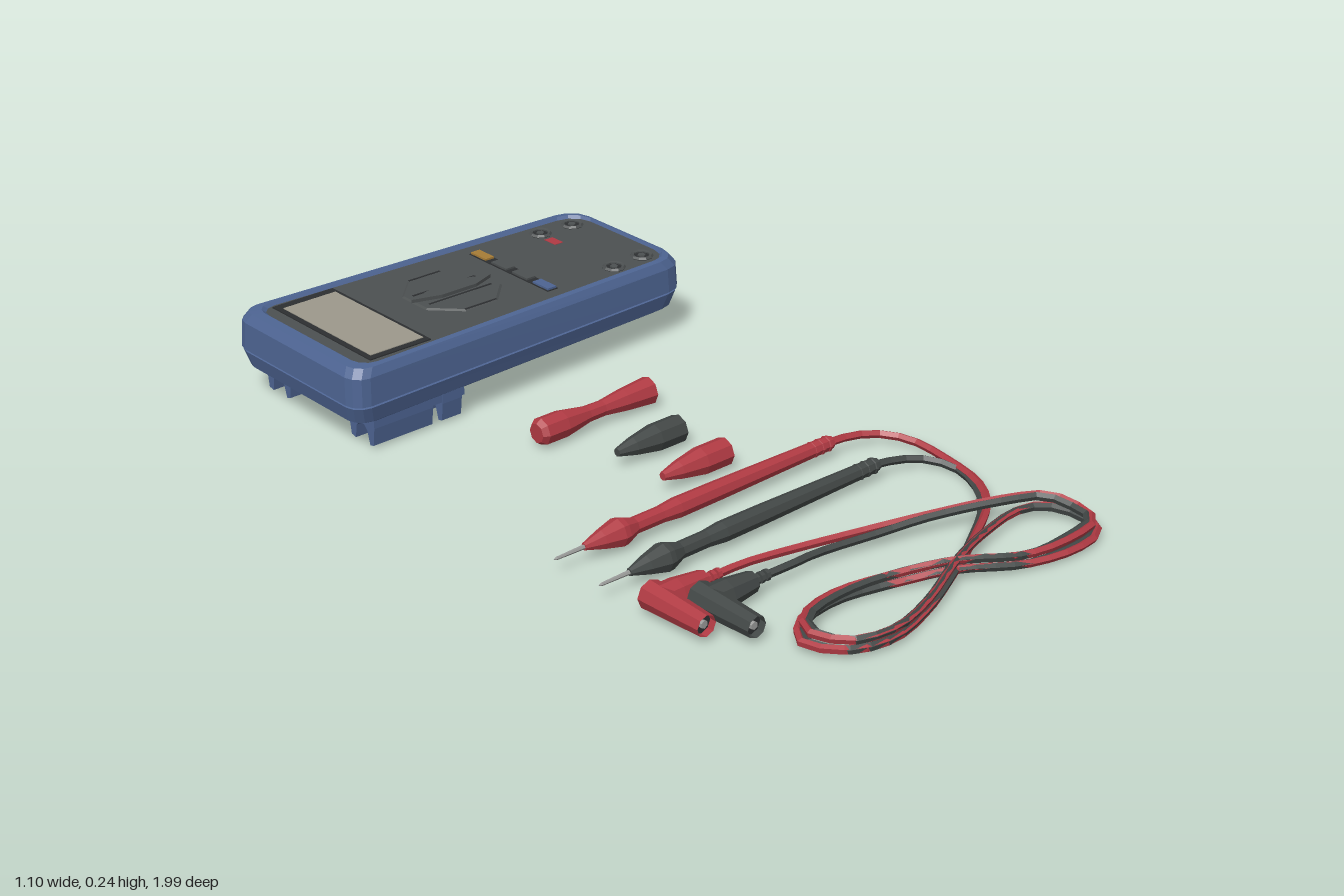
import * as THREE from 'three';

const mat = (name, color, extra = {}) => {
  const m = new THREE.MeshStandardMaterial({ color, flatShading: true, ...extra });
  m.name = name;
  return m;
};

export function createModel() {
  const root = new THREE.Group();
  const blue = mat('blue shell', 0x4d6492);
  const red = mat('red plastic', 0xb03a43, { side: THREE.DoubleSide });
  const black = mat('black plastic', 0x424746, { side: THREE.DoubleSide });
  const face = mat('charcoal face', 0x4c5051);
  const dark = mat('dark recess', 0x2d2f31);
  const glass = mat('display grey', 0x9c988b);
  const amber = mat('amber button', 0xa67c36);
  const metal = mat('metal', 0x9b9c9a);

  const add = (parent, name, geo, material, x = 0, y = 0, z = 0) => {
    const m = new THREE.Mesh(geo, material);
    m.name = name;
    m.position.set(x, y, z);
    parent.add(m);
    return m;
  };

  // ---------- meter ----------
  const meter = new THREE.Group();
  meter.name = 'meter';
  meter.position.z = -0.74;
  root.add(meter);

  // Rounded, tapered outline at height y with insets at the left, sides and right
  const ring = (y, il, is = il, ir = il, slope = 0) => {
    const pts = [];
    const corners = [[1, 1], [-1, 1], [-1, -1], [1, -1]];
    corners.forEach(([sx, sz], k) => {
      const r = sx > 0 ? 0.065 : 0.045;
      const cx = sx > 0 ? 0.55 - ir - r : -0.55 + il + r;
      const cz = sz * ((sx > 0 ? 0.23 : 0.26) - is - r);
      for (let i = 0; i <= 3; i++) {
        const a = (k + i / 3) * Math.PI / 2;
        const x = cx + r * Math.cos(a);
        pts.push([x, y - slope * x, cz + r * Math.sin(a)]);
      }
    });
    return pts;
  };

  const build = tris => {
    const g = new THREE.BufferGeometry();
    g.setAttribute('position', new THREE.Float32BufferAttribute(tris.flat(), 3));
    g.computeVertexNormals();
    return g;
  };
  const loft = rings => {
    const t = [];
    for (let k = 0; k + 1 < rings.length; k++) {
      const L = rings[k], U = rings[k + 1], n = L.length;
      for (let i = 0; i < n; i++) {
        const j = (i + 1) % n;
        t.push(L[i], U[i], U[j], L[i], U[j], L[j]);
      }
    }
    return build(t);
  };
  const cap = (r, up) => {
    const t = [], n = r.length;
    const c = [0, r.reduce((s, p) => s + p[1], 0) / n, 0];
    for (let i = 0; i < n; i++) {
      const j = (i + 1) % n;
      t.push(c, r[up ? j : i], r[up ? i : j]);
    }
    return build(t);
  };

  const S = 0.008;
  const under = ring(0.1, 0.06);
  const top = ring(0.226, 0.055, 0.036, 0.03, S);
  add(meter, 'lowerShell', loft([
    under, ring(0.078, 0.06), ring(0.078, 0.035), ring(0.092, 0.014), ring(0.135, 0.002), ring(0.138, 0.008),
  ]), blue);
  add(meter, 'upperShell', loft([
    ring(0.138, 0.008), ring(0.141, 0), ring(0.21, 0.003, 0.003, 0.003, S),
    ring(0.232, 0.018, 0.014, 0.018, S), ring(0.234, 0.045, 0.03, 0.026, S), top,
  ]), blue);
  add(meter, 'underPanel', cap(under, false), dark);
  add(meter, 'facePanel', cap(top, true), face);

  // Controls lie on the slightly sloping face
  const controls = new THREE.Group();
  controls.name = 'controls';
  controls.position.y = 0.226;
  controls.rotation.z = -S;
  meter.add(controls);
  const plate = (name, x, z, w, d, h, m, y = 0) =>
    add(controls, name, new THREE.BoxGeometry(w, h, d), m, x, y + h / 2, z);

  plate('displayFrame', -0.37, -0.005, 0.185, 0.415, 0.003, dark);
  plate('displayScreen', -0.368, 0, 0.16, 0.37, 0.002, glass, 0.003);
  const dialRing = add(controls, 'dialRing', new THREE.CylinderGeometry(0.127, 0.133, 0.004, 8), face, -0.055, 0.002, 0);
  dialRing.rotation.y = Math.PI / 8;
  // Dial grip, a pointed bar across the disc
  const grip = new THREE.Shape([[-0.13, 0], [-0.05, 0.024], [0.06, 0.024], [0.125, 0],
    [0.06, -0.024], [-0.05, -0.024]].map(p => new THREE.Vector2(...p)));
  const gripGeo = new THREE.ExtrudeGeometry(grip, { depth: 0.009, bevelEnabled: false }).rotateX(-Math.PI / 2);
  add(controls, 'dialGrip', gripGeo, face, -0.055, 0.004, 0);
  for (const s of [-1, 1]) plate('dialSlot', -0.055, s * 0.034, 0.2, 0.006, 0.001, dark, 0.004);
  for (const s of [-1, 1]) plate('dialEdge', -0.055, s * 0.118, 0.1, 0.006, 0.001, dark, 0.004);

  plate('buttonStrip', 0.145, 0, 0.034, 0.325, 0.002, dark);
  [amber, face, face, blue].forEach((m, i) =>
    plate('button', 0.145, -0.128 + i * 0.0855, 0.028, 0.062, 0.006, m, 0.001));
  plate('redMark', 0.355, -0.088, 0.028, 0.045, 0.001, red);

  // Input sockets
  for (const [x, z] of [[0.36, -0.15], [0.465, -0.143], [0.36, 0.153], [0.465, 0.143]]) {
    add(controls, 'socketRing', new THREE.TorusGeometry(0.026, 0.006, 5, 10).rotateX(Math.PI / 2), face, x, 0.002, z);
    add(controls, 'socketWell', new THREE.CylinderGeometry(0.025, 0.025, 0.002, 10), dark, x, 0.001, z);
    add(controls, 'socketCore', new THREE.CylinderGeometry(0.011, 0.011, 0.005, 6), face, x, 0.003, z);
  }

  // Forked holder rails under the display end
  const fork = new THREE.Shape([[-0.052, 0.1], [-0.052, 0.06], [-0.046, 0.012], [-0.032, 0.008], [-0.022, 0.045],
    [-0.01, 0.058], [0.01, 0.058], [0.022, 0.045], [0.028, 0.008], [0.045, 0.012], [0.052, 0.06], [0.052, 0.1]]
    .map(p => new THREE.Vector2(...p)));
  for (const s of [-1, 1]) {
    for (const [x0, len] of [[-0.48, 0.18], [-0.27, 0.06]]) {
      const g = new THREE.ExtrudeGeometry(fork, { depth: len, bevelEnabled: false }).rotateY(Math.PI / 2);
      add(meter, 'holderRail', g, blue, x0, 0, s * 0.178);
    }
    add(meter, 'holderWeb', new THREE.BoxGeometry(0.28, 0.035, 0.1), blue, -0.34, 0.081, s * 0.178);
  }
  add(meter, 'crossBar', new THREE.BoxGeometry(0.03, 0.035, 0.34), blue, -0.225, 0.083, 0);

  // ---------- turned parts lying along x ----------
  const turned = (parent, name, profile, m, z, y = 0.045, sides = 8) => {
    const g = new THREE.LatheGeometry(profile.map(([x, r]) => new THREE.Vector2(r, x)), sides);
    return add(parent, name, g.rotateZ(-Math.PI / 2), m, 0, y, z);
  };

  // Tip covers, hollow at the wide end
  const cover = [[-0.1, 0], [-0.1, 0.011], [-0.05, 0.024], [0.02, 0.036], [0.1, 0.036], [0.1, 0.026], [0, 0.018], [0, 0]];
  turned(root, 'blackTipCover', cover, black, -0.045);
  turned(root, 'redTipCover', cover, red, 0.12);
  // Waisted clip cover
  turned(root, 'clipCover', [[-0.18, 0], [-0.18, 0.026], [-0.165, 0.036], [-0.1, 0.036], [-0.02, 0.022], [0.03, 0.021],
    [0.1, 0.03], [0.185, 0.037], [0.185, 0.026], [0.05, 0.012], [0.05, 0]], red, -0.253);

  // ---------- test leads ----------
  const lead = (name, m, probeZ, dx, dz, d, start) => {
    const g = new THREE.Group();
    g.name = name;
    root.add(g);

    // Probe
    turned(g, 'probeTip', [[-0.55, 0], [-0.54, 0.004], [-0.45, 0.006]], metal, probeZ, 0.045, 6);
    turned(g, 'probeHandle', [[-0.46, 0], [-0.46, 0.009], [-0.41, 0.024], [-0.36, 0.036], [-0.345, 0.034], [-0.31, 0.021],
      [-0.23, 0.021], [-0.18, 0.026], [-0.05, 0.025], [0.3, 0.019], [0.325, 0.016], [0.325, 0]], m, probeZ);
    for (let i = 0; i < 3; i++)
      turned(g, 'probeRib', [[0, 0.015], [0.004, 0.021], [0.01, 0.021], [0.014, 0.015]], m, probeZ).position.x = 0.255 + i * 0.024;

    // Right-angle plug
    const plug = new THREE.Group();
    plug.name = 'plug';
    plug.position.set(dx, 0.045, dz);
    g.add(plug);
    add(plug, 'plugBarrel', new THREE.CylinderGeometry(0.027, 0.036, 0.185, 8, 1, true).rotateX(Math.PI / 2), m, -0.488, 0, 0.605);
    add(plug, 'plugBack', new THREE.CircleGeometry(0.036, 8).rotateY(Math.PI), m, -0.488, 0, 0.5125);
    add(plug, 'plugEnd', new THREE.CircleGeometry(0.026, 8), dark, -0.488, 0, 0.68);
    add(plug, 'plugPin', new THREE.CylinderGeometry(0.01, 0.01, 0.06, 6).rotateX(Math.PI / 2), metal, -0.488, 0, 0.66);
    turned(plug, 'plugNeck', [[-0.49, 0.036], [-0.44, 0.036], [-0.36, 0.026], [-0.355, 0]], m, 0.547, 0);
    for (let i = 0; i < 3; i++)
      turned(plug, 'strainRelief', [[0, 0], [0, 0.014], [0.01, 0.014], [0.012, 0]], m, 0.547, 0).position.x = -0.355 + i * 0.016;

    // Cable: probe, figure-of-eight coil, plug
    const lap = (k, y) => [
      [0.1, 0.875, y + 0.012], [-0.06, 0.94, y], [-0.2, 0.972, y], [-0.305, 0.94, y], [-0.357 + k, 0.855, y],
      [-0.29, 0.785 + k, y], [-0.18, 0.765 + k, y], [-0.04, 0.805, y], [0.1, 0.868, y + 0.012],
      [0.26, 0.945, y], [0.4, 0.975 - k, y], [0.495, 0.955 - k, y], [0.535 - k, 0.88, y],
    ];
    const coil = [
      ...start, ...lap(d, 0.022),
      [0.5 - d, 0.805, 0.03], [0.42, 0.78, 0.035], [0.28, 0.805, 0.04],
      ...lap(d + 0.014, 0.046),
      [0.5 - d, 0.8, 0.055], [0.4, 0.745 + d, 0.058], [0.22, 0.672 + d, 0.05],
      [0.05 + dx / 2, 0.61 + dz / 2, 0.04], [-0.12 + dx / 2, 0.567 + dz * 0.7, 0.04],
      [-0.24 + dx, 0.55 + dz, 0.045], [-0.32 + dx, 0.547 + dz, 0.045],
    ].map(([x, z, y]) => new THREE.Vector3(x, y, z));
    const path = new THREE.CatmullRomCurve3(coil, false, 'centripetal');
    add(g, 'cable', new THREE.TubeGeometry(path, 110, 0.0105, 5), m);
  };

  lead('redLead', red, 0.257, 0, 0, 0, [
    [0.32, 0.257, 0.045], [0.4, 0.262, 0.04], [0.475, 0.295, 0.03], [0.508, 0.36, 0.025], [0.506, 0.47, 0.02],
    [0.475, 0.6, 0.02], [0.4, 0.7, 0.025], [0.26, 0.79, 0.03]]);
  lead('blackLead', black, 0.412, 0.077, 0.075, 0.012, [
    [0.32, 0.412, 0.045], [0.4, 0.42, 0.035], [0.465, 0.455, 0.025], [0.494, 0.51, 0.015], [0.475, 0.585, 0.012],
    [0.4, 0.685, 0.012], [0.25, 0.785, 0.015]]);

  return root;
}
